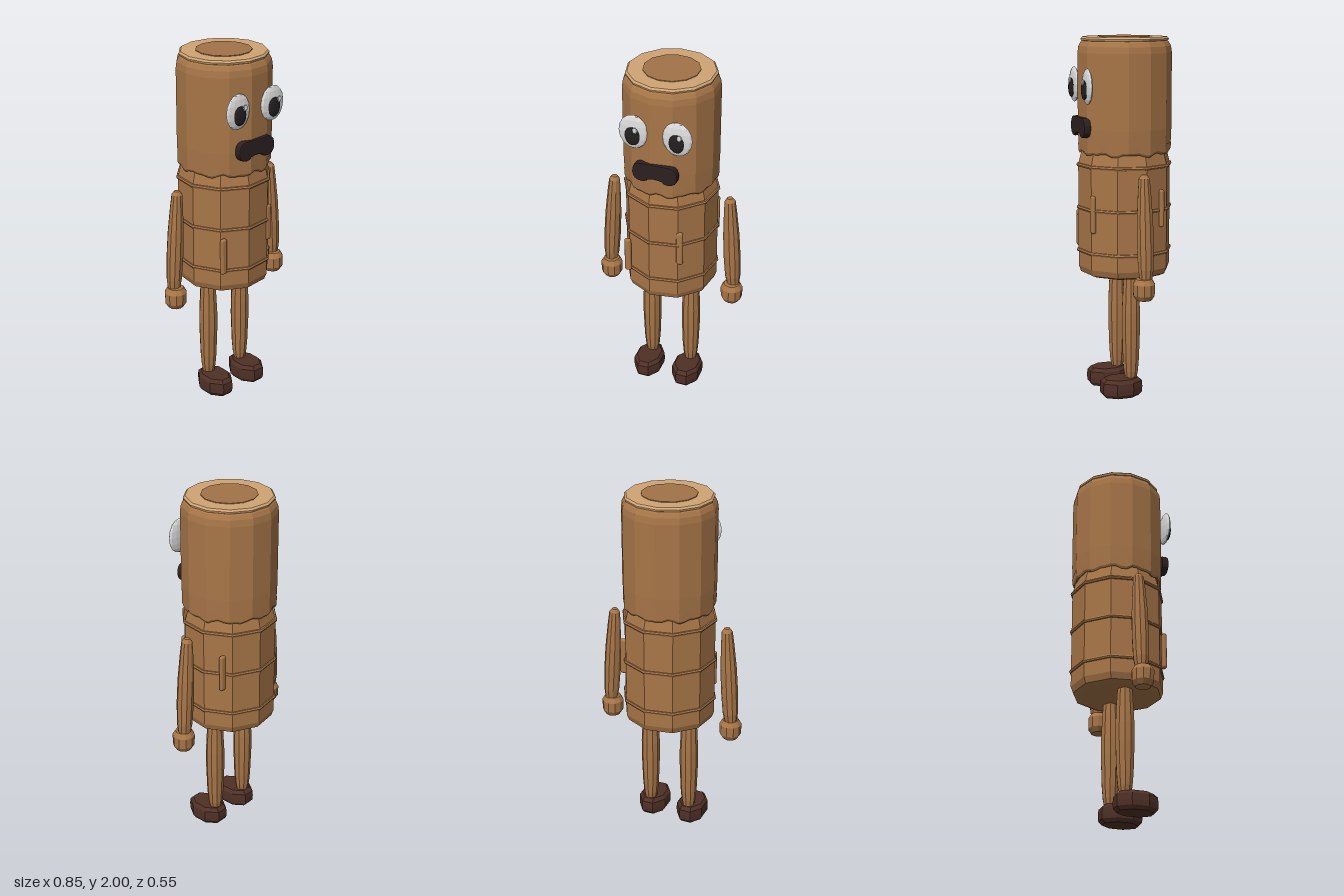
import * as THREE from 'three';
import { RoundedBoxGeometry } from 'three/addons/geometries/RoundedBoxGeometry.js';

const mat = (name, color) => {
  const m = new THREE.MeshStandardMaterial({ color, flatShading: true });
  m.name = name;
  return m;
};

export function createModel() {
  const wood = mat('bark brown', 0xa87648);
  const ringWood = mat('pale cut wood', 0xcfa473);
  const core = mat('heartwood', 0xa27248);
  const shoe = mat('dark brown', 0x4f3026);
  const white = mat('eye white', 0xdcdcdc);
  const black = mat('black', 0x231f20);
  const mouthDark = mat('mouth dark', 0x2c2020);

  const model = new THREE.Group();
  model.name = 'logCharacter';
  const Z = -0.02; // trunk axis
  const HEAD_START = -Math.PI / 2;
  const BODY_START = THREE.MathUtils.degToRad(27);

  const add = (name, geometry, material, x = 0, y = 0, z = 0, parent = model) => {
    const mesh = new THREE.Mesh(geometry, material);
    mesh.name = name;
    mesh.position.set(x, y, z);
    parent.add(mesh);
    return mesh;
  };
  // Profile points are [radius, height], listed from the bottom up.
  const lathe = (points, sides, start = 0) =>
    new THREE.LatheGeometry(points.map(p => new THREE.Vector2(p[0], p[1])), sides, start);
  const ellipsoid = (rx, ry, rz, w = 10, h = 8) => new THREE.SphereGeometry(1, w, h).scale(rx, ry, rz);

  // Lower trunk, ten sided
  add('lowerTrunk', lathe([[0, 0.683], [0.215, 0.683], [0.245, 0.695], [0.258, 0.73], [0.258, 1.3],
    [0.243, 1.36], [0.235, 1.39], [0, 1.39]], 10, BODY_START), wood, 0, 0, Z);
  for (const y of [0.82, 1.06, 1.298]) {
    add('trunkBand', lathe([[0.25, -0.011], [0.264, -0.009], [0.268, 0], [0.264, 0.009], [0.25, 0.011]],
      10, BODY_START), wood, 0, y, Z);
  }

  // Upper trunk, thirteen sided
  add('upperTrunk', lathe([[0, 1.385], [0.24, 1.385], [0.256, 1.4], [0.26, 1.5], [0.26, 1.91], [0.255, 1.945],
    [0.243, 1.968], [0.236, 1.974], [0, 1.974]], 13, HEAD_START), wood, 0, 0, Z);

  // Torn bark edge that follows the upper trunk
  const edge = lathe([[0.236, 1.378], [0.25, 1.366], [0.257, 1.378], [0.259, 1.42]], 52, HEAD_START);
  const p = edge.attributes.position;
  const side = (2 * Math.PI) / 13;
  for (let i = 0; i < p.count; i++) {
    const a = Math.atan2(p.getX(i), p.getZ(i)) - HEAD_START + 4 * Math.PI;
    const k = Math.cos(side / 2) / Math.cos((a % side) - side / 2);
    const wave = p.getY(i) < 1.4 ? 0.007 * Math.sin(9 * a) + 0.005 * Math.sin(16 * a + 1) : 0;
    p.setXYZ(i, p.getX(i) * k, p.getY(i) + wave, p.getZ(i) * k);
  }
  add('tornBarkEdge', edge, wood, 0, 0, Z).material.side = THREE.DoubleSide;

  // Cut top with heartwood disc
  add('cutTop', lathe([[0.225, 1.97], [0.24, 1.976], [0.243, 1.986], [0.233, 1.996], [0, 1.996]],
    13, HEAD_START), ringWood, 0, 0, Z);
  add('heartwoodDisc', new THREE.CylinderGeometry(0.152, 0.152, 0.006, 13, 1, false, HEAD_START),
    core, 0, 1.997, Z);

  // Raised bark slivers
  for (const [x, y, z, turn] of [[-0.183, 0.917, 0.188, 0], [0.125, 1.04, 0.203, 0], [0.216, 1.072, -0.16, 0]]) {
    add('barkSliver', new RoundedBoxGeometry(0.038, 0.208, 0.026, 2, 0.012), wood, x, y, z).rotation.y = turn;
  }

  for (const s of [-1, 1]) {
    const label = s > 0 ? 'left' : 'right';
    // Arm and hand
    const arm = add(label + 'Arm', lathe([[0, 0], [0.032, 0], [0.043, 0.07], [0.047, 0.2], [0.045, 0.34],
      [0.036, 0.49], [0.03, 0.56], [0.016, 0.58], [0, 0.583]], 10), wood, s * 0.37, 0.7, -0.015);
    arm.rotation.z = s * 0.06;
    add(label + 'Hand', lathe([[0, -0.061], [0.042, -0.06], [0.06, -0.032], [0.062, 0.028], [0.045, 0.056],
      [0, 0.062]], 10), wood, s * 0.365, 0.665, -0.005);

    // Leg and foot
    add(label + 'Leg', lathe([[0, 0.095], [0.032, 0.095], [0.041, 0.14], [0.047, 0.21], [0.053, 0.38],
      [0.053, 0.48], [0.046, 0.62], [0.04, 0.7]], 10), wood, s * 0.12, 0, -0.018);
    const foot = lathe([[0, 0], [0.85, 0], [1, 0.02], [1.02, 0.05], [1, 0.085], [0.82, 0.104], [0, 0.104]],
      8, Math.PI / 8).scale(0.085, 1, 0.122);
    add(label + 'Foot', foot, shoe, s * 0.12, 0, 0.04);

    // Eye with pupil and highlight
    const eye = new THREE.Group();
    eye.name = label + 'Eye';
    eye.position.set(s * 0.12, 1.735, 0.23);
    model.add(eye);
    add('eyeball', ellipsoid(0.081, 0.097, 0.02, 12), white, 0, 0, 0, eye);
    add('pupil', ellipsoid(0.042, 0.053, 0.013), black, 0, -0.018, 0.018, eye);
    add('eyeHighlight', ellipsoid(0.015, 0.017, 0.007, 8, 6), white, 0.021, 0.025, 0.033, eye);
  }

  // Open mouth, arched along its lower edge
  const lips = new THREE.Shape();
  lips.moveTo(-0.085, 0.048);
  lips.lineTo(0.085, 0.048);
  lips.quadraticCurveTo(0.12, 0.04, 0.118, -0.005);
  lips.quadraticCurveTo(0.115, -0.045, 0.075, -0.047);
  lips.quadraticCurveTo(0.052, -0.047, 0.045, -0.034);
  lips.quadraticCurveTo(0, -0.018, -0.045, -0.034);
  lips.quadraticCurveTo(-0.052, -0.047, -0.075, -0.047);
  lips.quadraticCurveTo(-0.115, -0.045, -0.118, -0.005);
  lips.quadraticCurveTo(-0.12, 0.04, -0.085, 0.048);
  add('mouth', new THREE.ExtrudeGeometry(lips, {
    depth: 0.026, bevelEnabled: true, bevelThickness: 0.007, bevelSize: 0.007, bevelSegments: 2, curveSegments: 4,
  }), mouthDark, 0, 1.51, 0.218);

  return model;
}
